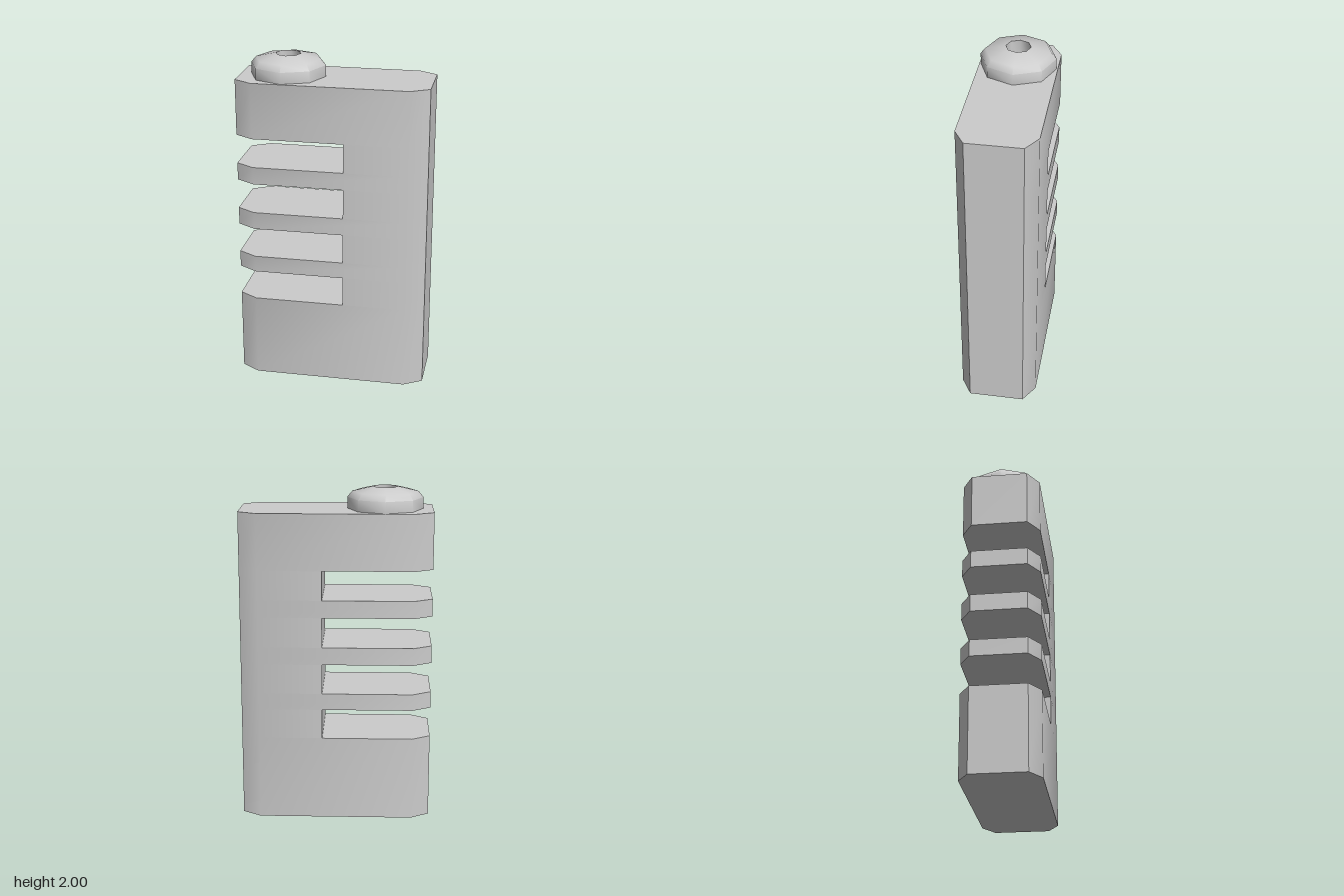
import * as THREE from 'three';
import { toCreasedNormals } from 'three/addons/utils/BufferGeometryUtils.js';

const H = 1.87;                       // body height
const SLOT_X = 0.08;                  // depth the slots reach to
const SLOTS = [[0.51, 0.69], [0.79, 0.97], [1.075, 1.255], [1.36, 1.535]];

// Footprint halves as [x, z]
const rightEnd = [[0.46, 0.232], [0.57, 0.165], [0.57, -0.165], [0.46, -0.232]];
const leftEnd = rightEnd.map(([x, z]) => [-x, -z]);
const cut = [[SLOT_X, 0.232], [SLOT_X, -0.232]];
const full = [...rightEnd, ...leftEnd];
const spine = [cut[0], ...rightEnd, cut[1]];
const fin = [...cut, ...leftEnd];

function bodyGeometry() {
  const pos = [];
  const tri = (...pts) => pts.forEach((p) => pos.push(...p));
  const at = ([x, z], y) => [x, y, z];

  // Side walls of one layer
  const walls = (outline, y0, y1) => outline.forEach((a, i) => {
    const b = outline[(i + 1) % outline.length];
    tri(at(a, y0), at(b, y0), at(b, y1));
    tri(at(a, y0), at(b, y1), at(a, y1));
  });
  // Flat face, looking up or down
  const face = (outline, y, up) => {
    for (let i = 1; i < outline.length - 1; i++) {
      const [b, c] = up ? [i, i + 1] : [i + 1, i];
      tri(at(outline[0], y), at(outline[b], y), at(outline[c], y));
    }
  };

  let y = 0;
  face(full, 0, false);
  for (const [y0, y1] of SLOTS) {
    walls(full, y, y0);
    face(fin, y0, true);              // slot floor
    walls(spine, y0, y1);
    face(fin, y1, false);             // slot ceiling
    y = y1;
  }
  walls(full, y, H);
  face(full, H, true);

  const geo = new THREE.BufferGeometry();
  geo.setAttribute('position', new THREE.Float32BufferAttribute(pos, 3));
  return toCreasedNormals(geo, THREE.MathUtils.degToRad(40));
}

export function createModel() {
  const group = new THREE.Group();
  const material = new THREE.MeshStandardMaterial({ color: 0xcccccc });

  // Chamfered block with four slots
  const body = new THREE.Mesh(bodyGeometry(), material);
  body.name = 'slottedBody';
  group.add(body);

  // Eight-sided domed knob with a central hole down to the body
  const profile = [[0.224, H], [0.224, 1.937], [0.195, 1.972], [0.074, 2], [0.074, H]]
    .map(([r, y]) => new THREE.Vector2(r, y));
  const knobGeo = toCreasedNormals(new THREE.LatheGeometry(profile, 8), THREE.MathUtils.degToRad(50));
  const knob = new THREE.Mesh(knobGeo, material);
  knob.name = 'topKnob';
  knob.position.x = -0.287;
  group.add(knob);

  return group;
}
